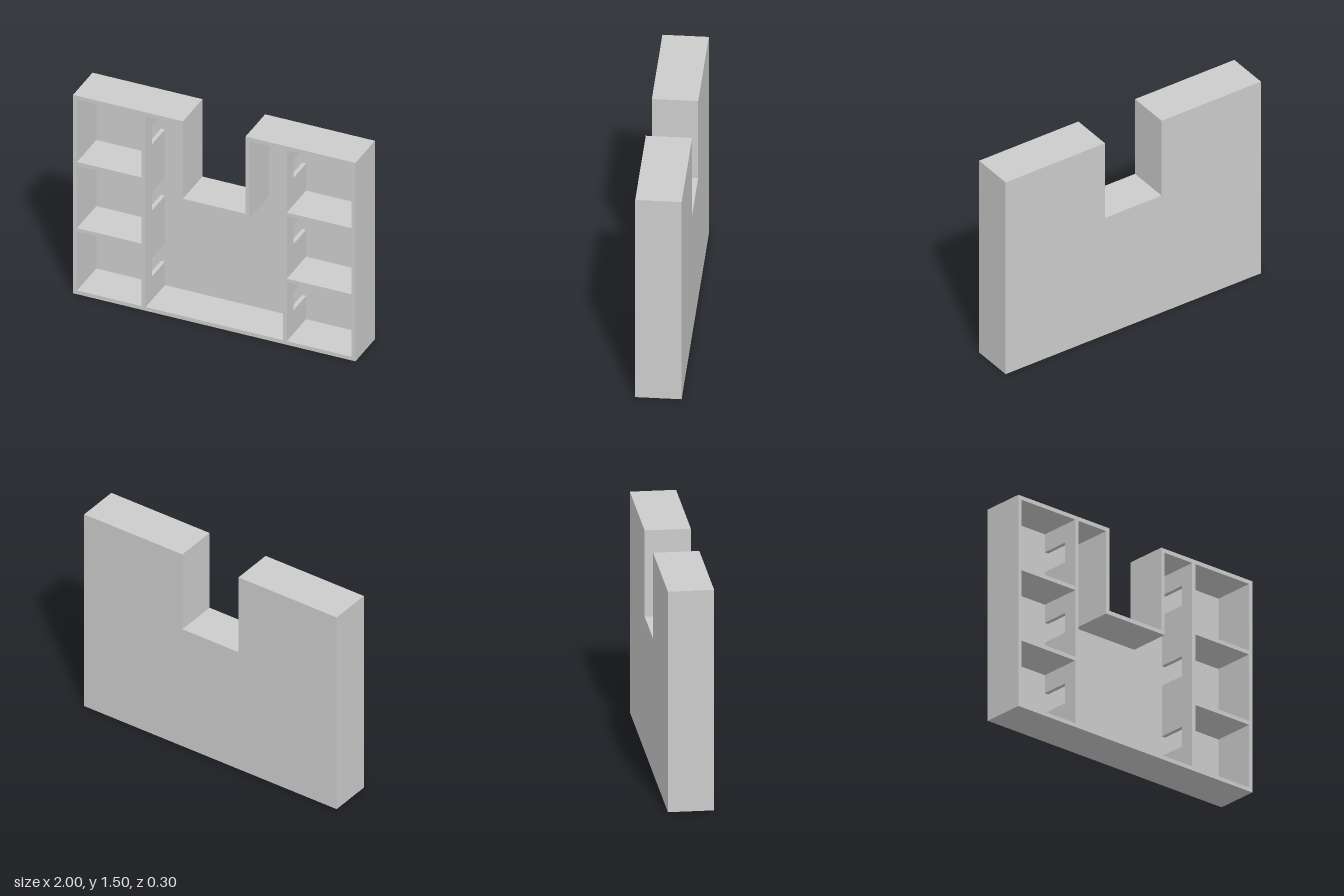
import * as THREE from 'three';

const WALL = 0.028;
const BOTTOM = 0.043, TOP = 1.543;
const FRONT = 0.15, BACK = -0.15, PANEL = 0.003;
const FLOOR = BOTTOM + WALL, CEILING = TOP - WALL;
const INNER_BACK = BACK + PANEL;
const DEPTH = FRONT - INNER_BACK;
const DIVIDER_X = 0.5;

const material = new THREE.MeshStandardMaterial({ color: 0xcccccc, flatShading: true });

const toPoints = (list) => list.map(([x, y]) => new THREE.Vector2(x, y));

// U-shaped outline of the cabinet, shrunk inwards by the given inset
function outline(inset) {
  const x = 1 - inset, top = TOP - inset, bottom = BOTTOM + inset;
  const notchX = 0.222 + inset, notchY = 0.958 - inset;
  return toPoints([
    [-x, bottom], [x, bottom], [x, top], [notchX, top],
    [notchX, notchY], [-notchX, notchY], [-notchX, top], [-x, top],
  ]);
}

function addMesh(group, name, geometry) {
  const mesh = new THREE.Mesh(geometry, material);
  mesh.name = name;
  group.add(mesh);
  return mesh;
}

function extrude(shape, depth) {
  return new THREE.ExtrudeGeometry(shape, { depth, bevelEnabled: false });
}

// Side profile of a divider: three slots open towards the back
function dividerGeometry() {
  const points = [[-FRONT, FLOOR], [-INNER_BACK, FLOOR]];
  for (let i = 0; i < 3; i++) {
    const low = 0.247 + i * 0.5, high = low + 0.14;
    points.push([-INNER_BACK, low], [-0.05, low], [-0.05, high], [-INNER_BACK, high]);
  }
  points.push([-INNER_BACK, CEILING], [-FRONT, CEILING]);
  const geometry = extrude(new THREE.Shape(toPoints(points)), WALL);
  geometry.translate(0, 0, -WALL / 2);
  geometry.rotateY(Math.PI / 2);
  return geometry;
}

export function createModel() {
  const group = new THREE.Group();
  group.name = 'shelfUnit';

  // Outer walls, following the notch
  const frame = new THREE.Shape(outline(0));
  frame.holes.push(new THREE.Path(outline(WALL)));
  addMesh(group, 'outerFrame', extrude(frame, DEPTH)).position.z = INNER_BACK;

  // Thin back sheet
  addMesh(group, 'backPanel', extrude(new THREE.Shape(outline(0)), PANEL)).position.z = BACK;

  // Slotted dividers and side shelves, mirrored left and right
  const inner = DIVIDER_X + WALL / 2, outer = 1 - WALL;
  const divider = dividerGeometry();
  const shelf = new THREE.BoxGeometry(outer - inner, WALL, DEPTH);
  for (const [side, name] of [[1, 'left'], [-1, 'right']]) {
    addMesh(group, `${name}Divider`, divider).position.x = side * DIVIDER_X;
    [0.529, 1.029].forEach((y, i) => {
      addMesh(group, `${name}Shelf${i + 1}`, shelf)
        .position.set(side * (inner + outer) / 2, y, (FRONT + INNER_BACK) / 2);
    });
  }
  return group;
}
